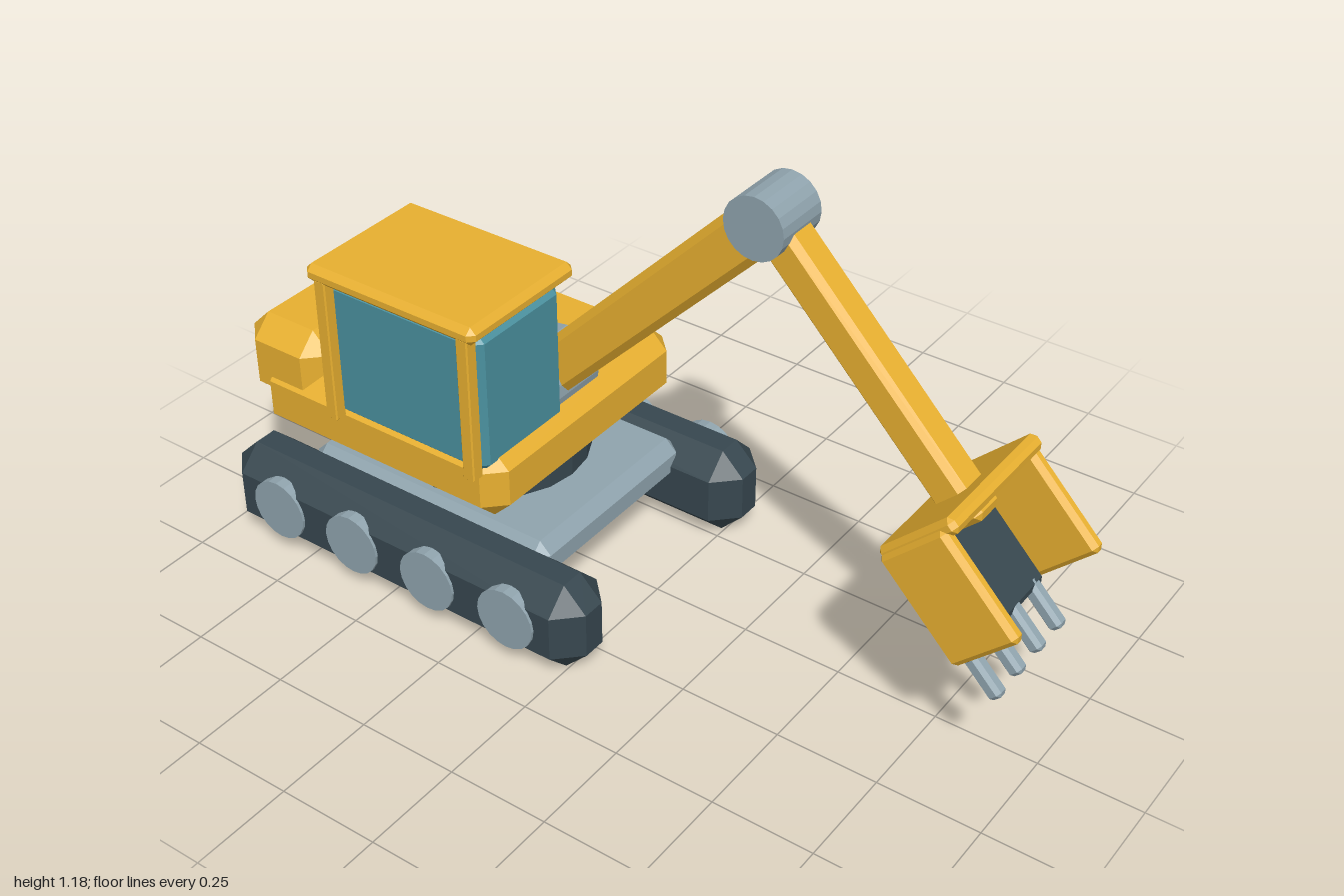
import * as THREE from 'three';
import { ConvexGeometry } from 'three/addons/geometries/ConvexGeometry.js';

const paint = (color) => new THREE.MeshStandardMaterial({ color, flatShading: true });
const yellow = paint(0xe8b030);
const dark = paint(0x37474f);
const steel = paint(0x90a4ae);
const glass = paint(0x4a919f);

// Box with every edge and corner cut off by c, given as [min, max] per axis
function chamferBox(parent, name, material, [x0, x1], [y0, y1], [z0, z1], c) {
  const h = [(x1 - x0) / 2, (y1 - y0) / 2, (z1 - z0) / 2];
  const points = [];
  for (const sx of [-1, 1]) for (const sy of [-1, 1]) for (const sz of [-1, 1]) {
    for (let full = 0; full < 3; full++) {
      const p = h.map((v, i) => (i === full ? v : v - c));
      points.push(new THREE.Vector3(sx * p[0], sy * p[1], sz * p[2]));
    }
  }
  const mesh = new THREE.Mesh(new ConvexGeometry(points), material);
  mesh.name = name;
  mesh.position.set((x0 + x1) / 2, (y0 + y1) / 2, (z0 + z1) / 2);
  parent.add(mesh);
  return mesh;
}

// Cylinder lying along x
function crossCylinder(parent, name, material, radius, length, x, y, z) {
  const geometry = new THREE.CylinderGeometry(radius, radius, length, 20).rotateZ(Math.PI / 2);
  const mesh = new THREE.Mesh(geometry, material);
  mesh.name = name;
  mesh.position.set(x, y, z);
  parent.add(mesh);
}

function addGroup(parent, name) {
  const group = new THREE.Group();
  group.name = name;
  parent.add(group);
  return group;
}

function buildUndercarriage(parent) {
  const base = addGroup(parent, 'undercarriage');
  for (const s of [-1, 1]) {
    const side = s < 0 ? 'right' : 'left';
    const track = chamferBox(base, side + 'Track', dark, [-0.088, 0.088], [0, 0.232], [-1, 0.05], 0.059);
    track.position.x = s * 0.31;
    for (let i = 0; i < 4; i++) {
      crossCylinder(base, side + 'Wheel', steel, 0.078, 0.03, s * 0.39, 0.12, -0.13 - i * 0.23);
    }
  }
  chamferBox(base, 'trackFrame', steel, [-0.275, 0.275], [0.127, 0.232], [-0.83, -0.12], 0.03);
  const ring = new THREE.Mesh(new THREE.CylinderGeometry(0.23, 0.23, 0.11, 20), dark);
  ring.name = 'turntable';
  ring.position.set(0, 0.265, -0.475);
  base.add(ring);
}

function buildBody(parent) {
  const body = addGroup(parent, 'body');
  chamferBox(body, 'platform', yellow, [-0.345, 0.345], [0.303, 0.488], [-0.91, -0.187], 0.047);
  chamferBox(body, 'counterweight', yellow, [-0.337, 0.337], [0.37, 0.587], [-0.957, -0.715], 0.051);

  // Cab: glazed box, overhanging roof and two outer posts
  const cab = addGroup(body, 'cab');
  chamferBox(cab, 'cabWindows', glass, [-0.35, -0.055], [0.44, 0.803], [-0.658, -0.214], 0.024);
  chamferBox(cab, 'cabRoof', yellow, [-0.385, -0.028], [0.8, 0.845], [-0.675, -0.198], 0.015);
  for (const z of [-0.637, -0.235]) {
    chamferBox(cab, 'cabPost', yellow, [-0.378, -0.346], [0.444, 0.81], [z - 0.016, z + 0.016], 0.003);
  }
}

function buildArm(parent) {
  const base = { y: 0.495, z: -0.31 };
  const elbow = { y: 1.107, z: 0.285 };
  const arm = addGroup(parent, 'arm');
  crossCylinder(arm, 'boomPivot', steel, 0.09, 0.15, 0, base.y, base.z);
  crossCylinder(arm, 'elbowPivot', steel, 0.073, 0.14, 0, elbow.y, elbow.z);

  // Boom runs along its own z from the base pivot to the elbow
  const boom = addGroup(arm, 'boomGroup');
  boom.position.set(0, base.y, base.z);
  boom.rotation.x = -Math.atan2(elbow.y - base.y, elbow.z - base.z);
  const length = Math.hypot(elbow.y - base.y, elbow.z - base.z);
  chamferBox(boom, 'boom', yellow, [-0.057, 0.057], [-0.06, 0.06], [0, length], 0.018);

  // Stick and bucket share a frame whose z runs down the stick
  const lower = addGroup(arm, 'stickGroup');
  lower.position.set(0, elbow.y, elbow.z);
  lower.rotation.x = 0.802;
  chamferBox(lower, 'stick', yellow, [-0.045, 0.045], [-0.047, 0.047], [0, 0.745], 0.015);

  const bucket = addGroup(lower, 'bucket');
  chamferBox(bucket, 'bucketTop', yellow, [-0.185, 0.185], [-0.115, 0.105], [0.671, 0.71], 0.012);
  chamferBox(bucket, 'bucketFloor', dark, [-0.167, 0.167], [-0.122, -0.085], [0.68, 0.97], 0.011);
  for (const s of [-1, 1]) {
    const wall = chamferBox(bucket, 'bucketSide', yellow, [-0.019, 0.019], [-0.115, 0.08], [0.685, 0.96], 0.012);
    wall.position.x = s * 0.176;
  }
  for (let i = 0; i < 4; i++) {
    const x = -0.134 + i * 0.089;
    chamferBox(bucket, 'bucketTooth', steel, [x - 0.018, x + 0.018], [-0.123, -0.085], [0.94, 1.07], 0.009);
  }
}

export function createModel() {
  const model = new THREE.Group();
  model.name = 'excavator';
  buildUndercarriage(model);
  buildBody(model);
  buildArm(model);
  return model;
}
